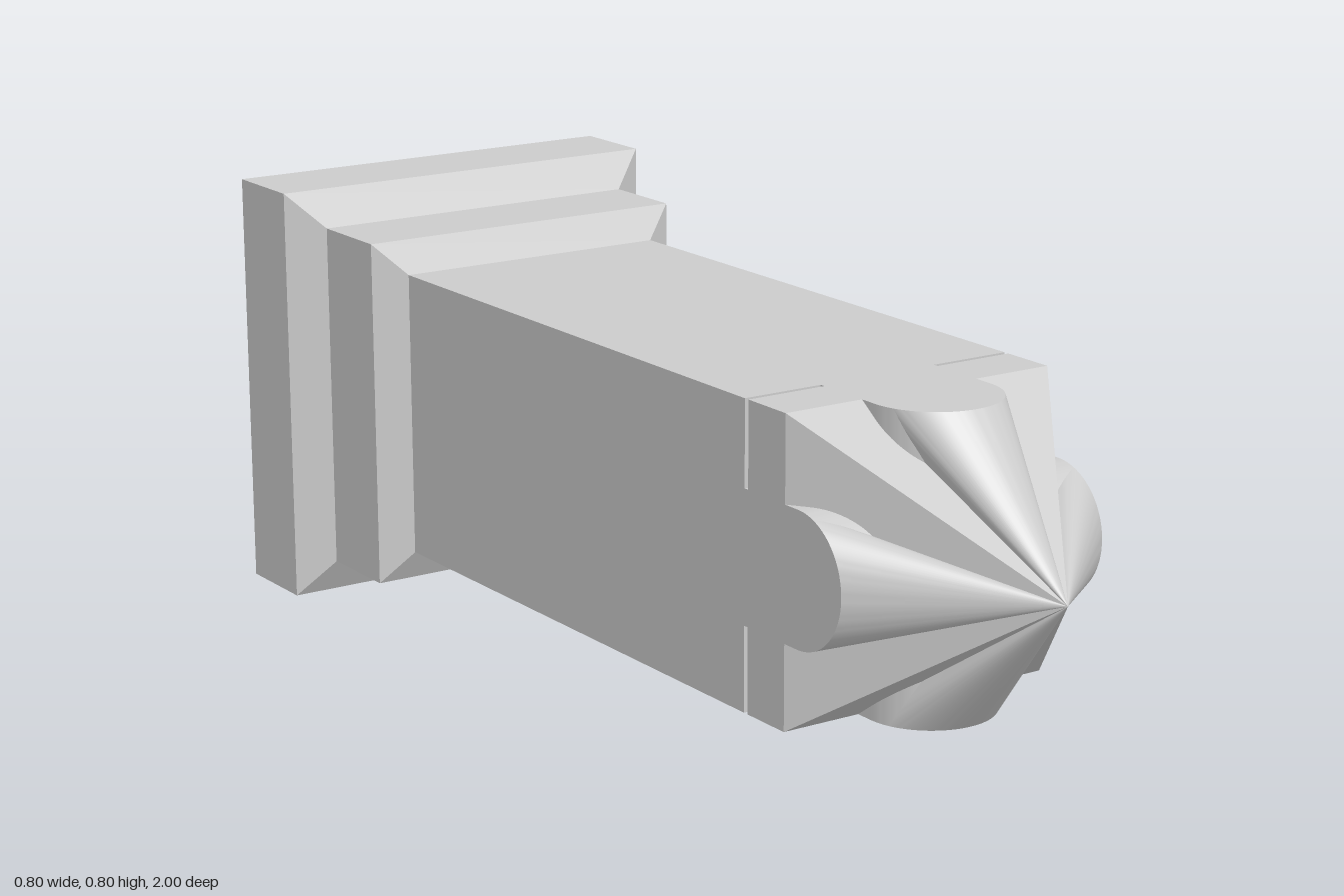
import * as THREE from 'three';
import { toCreasedNormals } from 'three/addons/utils/BufferGeometryUtils.js';

const CENTRE = 0.398; // height of the long axis
const HALF = 0.27;    // half width of the shaft
const VALLEY = 0.614; // where the pointed end starts
const R = 0.118;      // radius of the rounded tongues
const ARC_Z = 0.649;  // centre of the tongue arc
const SLOT = [0.501, 0.511];

const flat = new THREE.MeshStandardMaterial({ color: 0xcccccc, flatShading: true });
const smooth = new THREE.MeshStandardMaterial({ color: 0xcccccc });

function part(name, geometry, material) {
  const mesh = new THREE.Mesh(geometry, material);
  mesh.name = name;
  return mesh;
}

// Square solid along z from [half width, z] pairs
function squareSolid(profile) {
  const points = profile.map(([h, z]) => new THREE.Vector2(h * Math.SQRT2, z));
  const g = new THREE.LatheGeometry(points, 4, Math.PI / 4).rotateX(Math.PI / 2).toNonIndexed();
  g.computeVertexNormals();
  return g;
}

// Outline of a tongue in (x, z), from +x round to -x
function tongueOutline() {
  const pts = [new THREE.Vector2(R, VALLEY)];
  const n = 48;
  for (let i = 0; i <= n; i++) {
    const a = (Math.PI * i) / n;
    pts.push(new THREE.Vector2(R * Math.cos(a), ARC_Z + R * Math.sin(a)));
  }
  pts.push(new THREE.Vector2(-R, VALLEY));
  return pts;
}

export function createModel() {
  const model = new THREE.Group();
  model.name = 'pointedPost';
  const axis = new THREE.Group();
  axis.name = 'post';
  axis.position.y = CENTRE;
  model.add(axis);

  // Stepped base and shaft up to the slots
  axis.add(part('baseAndShaft', squareSolid([
    [0, -1], [0.398, -1], [0.398, -0.83], [0.33, -0.79],
    [0.33, -0.62], [HALF, -0.587], [HALF, SLOT[0]], [0, SLOT[0]],
  ]), flat));

  // Cross-shaped core leaving a thin slot at each corner
  const slotDepth = SLOT[1] - SLOT[0];
  for (const [w, h] of [[2 * R, 2 * HALF], [2 * HALF, 2 * R]]) {
    const core = part('slotCore', new THREE.BoxGeometry(w, h, slotDepth), flat);
    core.position.z = (SLOT[0] + SLOT[1]) / 2;
    axis.add(core);
  }

  // Front collar and pyramid point
  axis.add(part('pyramidPoint', squareSolid([
    [0, SLOT[1]], [HALF, SLOT[1]], [HALF, VALLEY], [0, 1],
  ]), flat));

  // Rounded tongue on each side, with a cone running to the apex
  const outline = tongueOutline();
  const tongue = toCreasedNormals(
    new THREE.ExtrudeGeometry(new THREE.Shape(outline), { depth: 0.11, bevelEnabled: false })
      .rotateX(Math.PI / 2).translate(0, HALF, 0), 0.5);

  const corners = [];
  for (let i = 0; i < outline.length - 1; i++) {
    const a = outline[i], b = outline[i + 1];
    corners.push(a.x, HALF, a.y, b.x, HALF, b.y, 0, 0, 1);
  }
  const fan = new THREE.BufferGeometry();
  fan.setAttribute('position', new THREE.Float32BufferAttribute(corners, 3));
  fan.computeVertexNormals();
  const cone = toCreasedNormals(fan, 0.5);

  for (let i = 0; i < 4; i++) {
    const side = new THREE.Group();
    side.name = 'tongue';
    side.rotation.z = (i * Math.PI) / 2;
    side.add(part('tonguePlate', tongue, smooth), part('tongueCone', cone, smooth));
    axis.add(side);
  }
  return model;
}
